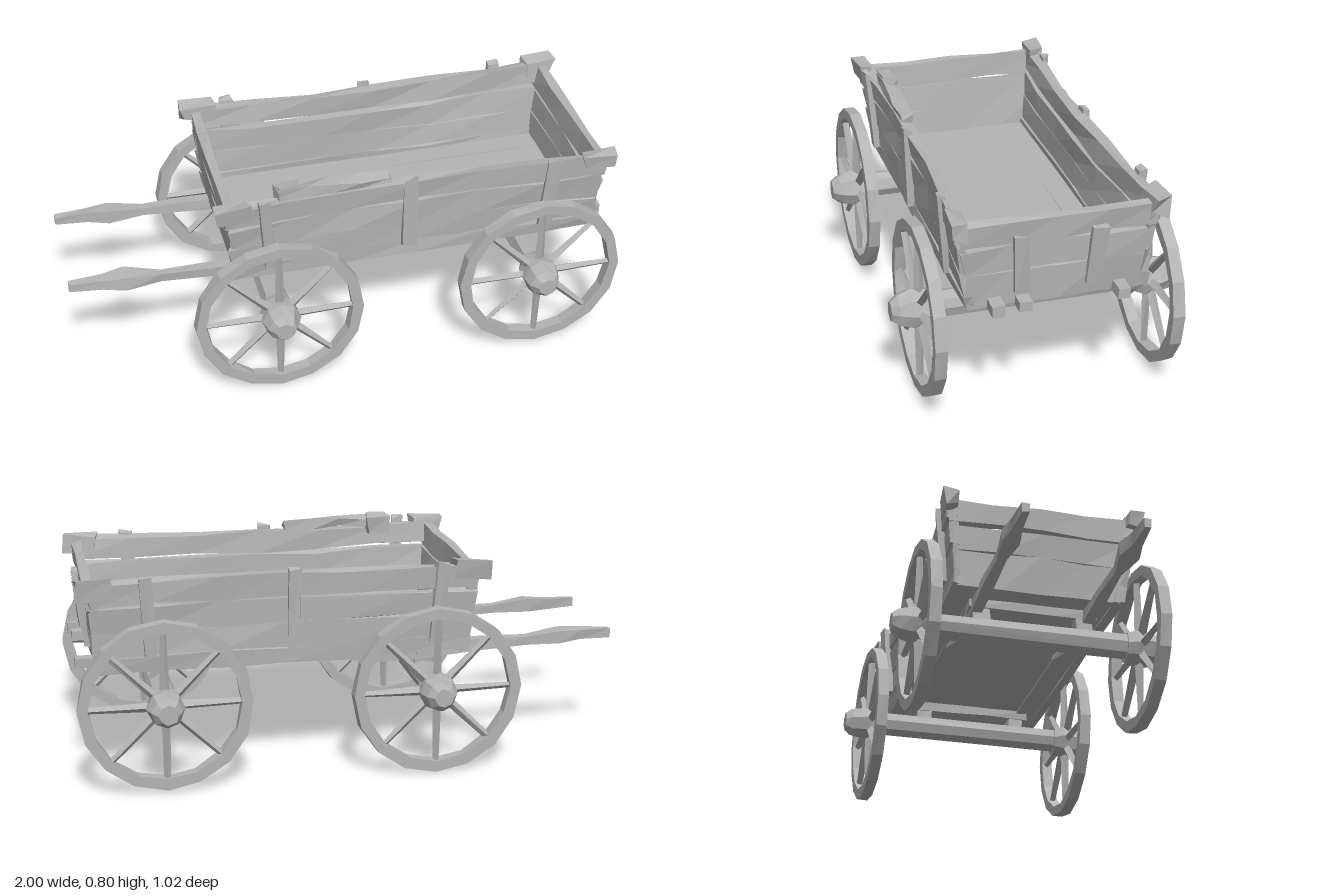
import * as THREE from 'three';

const wood = new THREE.MeshStandardMaterial({ color: 0xb4b4b4, flatShading: true });
wood.name = 'weathered grey wood';

// Repeatable noise in -1..1, equal for vertices sharing a corner
const noise = (x, y, z, k) => {
  const s = Math.sin(x * 127.1 + y * 311.7 + z * 74.7 + k * 53.3) * 43758.5453;
  return 2 * (s - Math.floor(s)) - 1;
};
const r3 = (v) => Math.round(v * 1000) / 1000 + 0;

// Moves every vertex by a rule
function bend(geo, rule) {
  const p = geo.attributes.position;
  const v = new THREE.Vector3();
  for (let i = 0; i < p.count; i++) {
    v.fromBufferAttribute(p, i);
    rule(v);
    p.setXYZ(i, v.x, v.y, v.z);
  }
  geo.computeVertexNormals();
  return geo;
}

// Roughens a geometry by hand-hewn amounts along each axis
function rough(geo, k, ax, ay, az) {
  return bend(geo, (v) => {
    const [x, y, z] = [r3(v.x), r3(v.y), r3(v.z)];
    v.x += ax * noise(x, y, z, k);
    v.y += ay * noise(x, y, z, k + 7);
    v.z += az * noise(x, y, z, k + 13);
  });
}

function add(parent, name, geo) {
  const m = new THREE.Mesh(geo, wood);
  m.name = name;
  parent.add(m);
  return m;
}

function box(w, h, d, x, y, z, sx = 1, sz = 1) {
  return new THREE.BoxGeometry(w, h, d, sx, 1, sz).translate(x, y, z);
}

// Body flare: 0 at the floor, 1 at the top rail
const rise = (y) => (y - 0.42) / 0.34;
// Middle line of a side wall: flares upward and bows inward at mid length
const wallZ = (x, y) => {
  const t = rise(y);
  const u = (x - 0.25) / 0.7;
  return 0.295 + 0.045 * t - 0.035 * t * Math.max(0, 1 - u * u);
};

function sideWall(body, s, k) {
  const onWall = (out) => (v) => {
    const x = v.x;
    v.x += Math.sign(x - 0.25) * 0.025 * rise(v.y) * Math.min(1, Math.abs(x - 0.25) / 0.6);
    v.z += s * (wallZ(x, v.y) + out);
  };
  // Planks: bottom y, top y, thickness
  [[0.42, 0.475, 0.035], [0.478, 0.565, 0.03], [0.568, 0.655, 0.03], [0.672, 0.75, 0.042]].forEach(([a, b, t], i) => {
    const g = box(1.35, b - a, t, 0.25, (a + b) / 2, 0, 6);
    add(body, 'sidePlank', bend(rough(g, k + i, 0.012, 0.009, 0.006), onWall(0)));
  });
  // Upright battens
  [-0.29, 0.22, 0.73].forEach((x, i) => {
    const g = box(0.045, 0.29, 0.025, x, 0.62, 0);
    add(body, 'sideBatten', bend(rough(g, k + 20 + i, 0.006, 0.008, 0.004), onWall(0.026)));
  });
  // Corner caps
  [-0.4, 0.9].forEach((x, i) => {
    const g = box(0.12, 0.06, 0.05, x, 0.735, 0);
    add(body, 'cornerCap', bend(rough(g, k + 30 + i, 0.015, 0.012, 0.006), onWall(0.006)));
  });
}

function endWall(body, e, k) {
  const base = e > 0 ? 0.905 : -0.4;
  const onEnd = (out) => (v) => {
    const t = rise(v.y);
    v.x += base + e * (0.035 * t + out);
    v.z *= 1 + 0.16 * t;
  };
  [[0.42, 0.55], [0.553, 0.645], [0.655, 0.74]].forEach(([a, b], i) => {
    const g = box(0.034, b - a, 0.6, 0, (a + b) / 2, 0, 1, 4);
    add(body, 'endPlank', bend(rough(g, k + i, 0.005, 0.007, 0.008), onEnd(0)));
  });
  if (e > 0) {
    [-0.12, 0.12].forEach((z, i) => {
      const g = box(0.025, 0.21, 0.048, 0, 0.575, z);
      add(body, 'endBatten', bend(rough(g, k + 9 + i, 0.004, 0.006, 0.005), onEnd(0.026)));
    });
  }
}

function makeBody() {
  const body = new THREE.Group();
  body.name = 'wagonBody';
  add(body, 'floor', box(1.31, 0.03, 0.6, 0.255, 0.44, 0));
  for (const s of [1, -1]) sideWall(body, s, s > 0 ? 3 : 61);
  endWall(body, 1, 101);
  endWall(body, -1, 131);
  // Splintered board lying along the front top rail
  add(body, 'splinteredBoard', rough(box(0.4, 0.03, 0.045, -0.06, 0.768, 0.305, 4), 5, 0.01, 0.007, 0.01));
  add(body, 'looseBlock', rough(box(0.08, 0.07, 0.05, -0.22, 0.755, 0.295), 8, 0.01, 0.008, 0.008));
  return body;
}

function makeWheel(k) {
  const wheel = new THREE.Group();
  wheel.name = 'wheel';
  const h = 0.021;
  const profile = [[0.268, -h], [0.307, -h], [0.307, h], [0.268, h], [0.268, -h]]
    .map(([r, y]) => new THREE.Vector2(r, y));
  add(wheel, 'rim', rough(new THREE.LatheGeometry(profile, 16).rotateX(Math.PI / 2), k, 0.003, 0.003, 0));
  for (let i = 0; i < 8; i++) {
    const g = new THREE.CylinderGeometry(0.011, 0.017, 0.24, 4).translate(0, 0.158, 0);
    add(wheel, 'spoke', rough(g, k + i, 0.002, 0, 0.002).rotateZ((i * Math.PI) / 4));
  }
  // Hub with inner collar and blunt outer cap
  const hub = [[0, -0.055], [0.055, -0.055], [0.066, -0.025], [0.068, 0.03], [0.055, 0.075], [0.034, 0.1], [0, 0.1]]
    .map(([r, y]) => new THREE.Vector2(r, y));
  add(wheel, 'hub', rough(new THREE.LatheGeometry(hub, 8).rotateX(Math.PI / 2), k + 40, 0.004, 0.004, 0));
  return wheel;
}

// Shaft: rectangular sections [x, y, height, width] lofted along x
function makeShaft(z, k) {
  const rows = [[-1, 0.42, 0.03, 0.025], [-0.88, 0.42, 0.04, 0.04], [-0.8, 0.42, 0.052, 0.065],
    [-0.67, 0.412, 0.034, 0.028], [-0.5, 0.408, 0.04, 0.04], [-0.25, 0.395, 0.05, 0.045], [-0.06, 0.385, 0.035, 0.04], [0.1, 0.42, 0.025, 0.04]];
  const g = new THREE.BoxGeometry(rows.length - 1, 1, 1, rows.length - 1, 1, 1);
  bend(g, (v) => {
    const [x, y, h, w] = rows[Math.round(v.x + (rows.length - 1) / 2)];
    v.set(x, y + v.y * h, z + v.z * w);
  });
  return rough(g, k, 0, 0.004, 0.004);
}

export function createModel() {
  const wagon = new THREE.Group();
  wagon.name = 'wagon';
  wagon.add(makeBody());

  // Axles, bolsters and wheels
  [[-0.28, 0.311], [0.695, 0.322]].forEach(([x, y], i) => {
    const axle = new THREE.CylinderGeometry(0.047, 0.047, 0.76, 8).rotateX(Math.PI / 2).translate(x, y + 0.003, 0);
    add(wagon, 'axle', rough(axle, 17 + i, 0.003, 0.003, 0));
    add(wagon, 'bolster', rough(box(0.07, 0.035, 0.48, x, 0.408, 0, 1, 3), 27 + i, 0.005, 0.004, 0.01));
    for (const s of [1, -1]) {
      add(wagon, 'bolsterBlock', rough(box(0.06, 0.06, 0.06, x, 0.378, s * 0.19), 37 + i, 0.006, 0.004, 0.006));
      const wheel = makeWheel(47 + i * 20 + s);
      wheel.position.set(x, y, s * 0.41);
      if (s < 0) wheel.rotation.y = Math.PI;
      wagon.add(wheel);
    }
  });

  // Under-floor rails and pulling shafts
  for (const s of [1, -1]) {
    add(wagon, 'floorRail', rough(box(1.4, 0.038, 0.04, 0.29, 0.437, s * 0.215, 3), 70 + s, 0, 0.003, 0.003));
    add(wagon, 'shaft', makeShaft(s * 0.207, 80 + s));
  }
  add(wagon, 'railStub', box(0.12, 0.035, 0.045, 0.92, 0.435, 0.12));
  return wagon;
}
